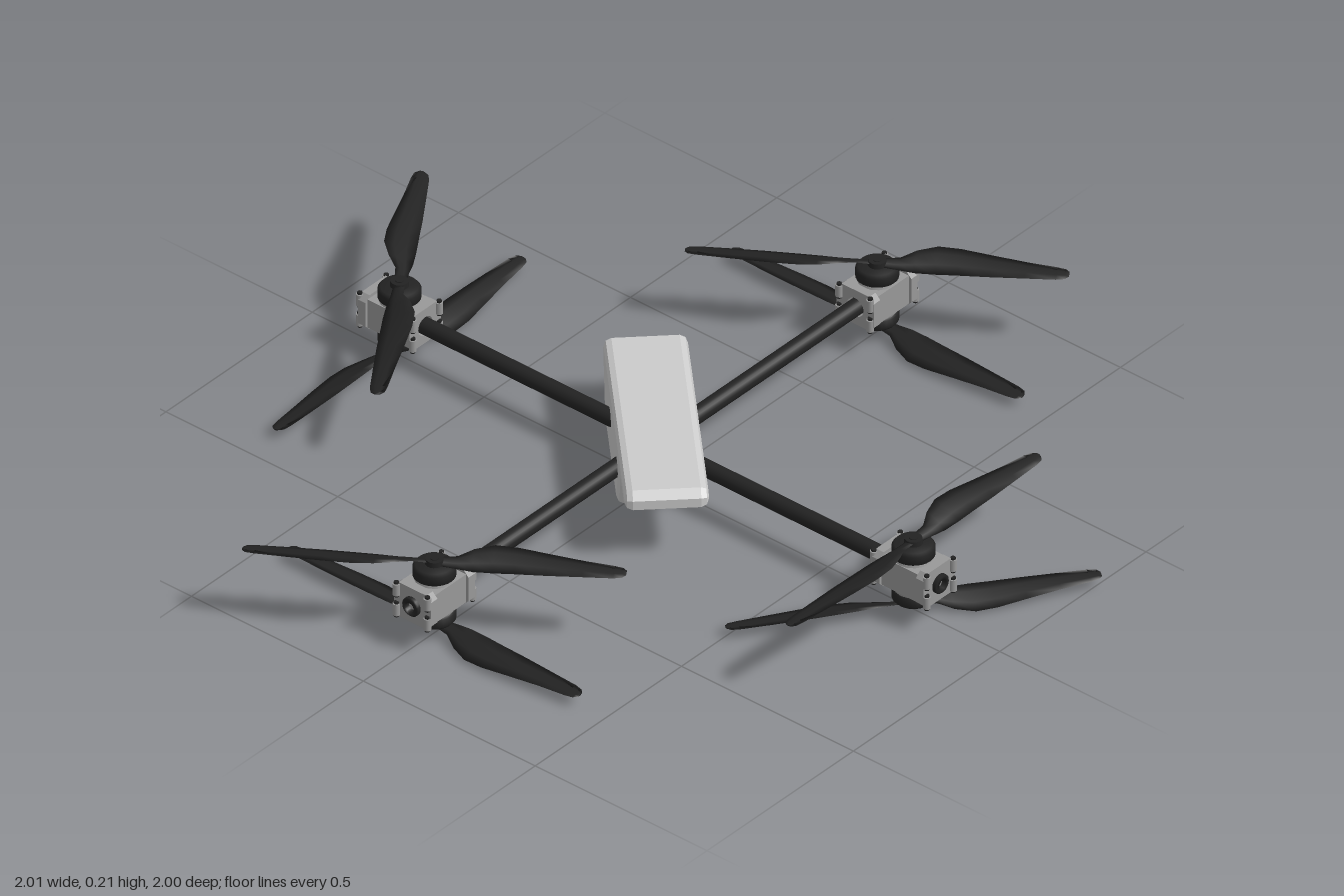
import * as THREE from 'three';

const grey = new THREE.MeshStandardMaterial({ color: 0xcccccc });
const podGrey = new THREE.MeshStandardMaterial({ color: 0x999999 });
const black = new THREE.MeshStandardMaterial({ color: 0x222222 });
const bladeBlack = new THREE.MeshStandardMaterial({ color: 0x222222, side: THREE.DoubleSide });

const ARM_Y = 0.11, REACH = 0.753, ROTOR_Y = 0.081;

function add(parent, name, geometry, material, x = 0, y = 0, z = 0) {
  const mesh = new THREE.Mesh(geometry, material);
  mesh.name = name;
  mesh.position.set(x, y, z);
  parent.add(mesh);
  return mesh;
}

// Chamfered hull: side profile with an overhanging nose, extruded across its width
function createBody() {
  const profile = [
    [-0.235, 0.003], [0.075, 0.003], [0.09, 0.012], [0.15, 0.138], [0.29, 0.138],
    [0.313, 0.152], [0.313, 0.175], [0.295, 0.193], [-0.29, 0.193], [-0.311, 0.175], [-0.25, 0.012],
  ];
  const shape = new THREE.Shape(profile.map(([s, y]) => new THREE.Vector2(s, y)));
  const bevel = 0.018, width = 0.188;
  const geometry = new THREE.ExtrudeGeometry(shape, {
    depth: width - 2 * bevel, bevelEnabled: true, bevelThickness: bevel,
    bevelSize: bevel, bevelOffset: -bevel, bevelSegments: 2,
  });
  geometry.translate(0, 0, -width / 2 + bevel);
  return geometry;
}

// Twisted blade lofted along +x from thin lens sections
function createBlade() {
  // radius, straight edge, bulged edge, pitch slope
  const sections = [
    [0.0, -0.012, 0.012, 0.2], [0.05, -0.015, 0.016, 0.42], [0.085, -0.019, 0.036, 0.42],
    [0.13, -0.02, 0.052, 0.36], [0.18, -0.019, 0.053, 0.3], [0.25, -0.018, 0.045, 0.24],
    [0.33, -0.015, 0.035, 0.18], [0.4, -0.012, 0.028, 0.14], [0.42, -0.008, 0.024, 0.12],
    [0.428, 0.001, 0.016, 0.12],
  ];
  const lens = [[0, 0], [0.3, 1], [0.7, 0.9], [1, 0], [0.7, -0.4], [0.3, -0.4]];
  const n = lens.length, positions = [], index = [];
  sections.forEach(([r, a, b, slope], i) => {
    for (const [t, h] of lens) {
      const z = a + (b - a) * t;
      positions.push(r, z * slope + h * 0.0045 * (1 - r), -z);
    }
    if (i === 0) return;
    for (let j = 0; j < n; j++) {
      const p = (i - 1) * n + j, q = (i - 1) * n + (j + 1) % n;
      index.push(p, p + n, q, q, p + n, q + n);
    }
  });
  const last = (sections.length - 1) * n;
  for (let j = 1; j < n - 1; j++) index.push(last, last + j + 1, last + j);
  const geometry = new THREE.BufferGeometry();
  geometry.setAttribute('position', new THREE.Float32BufferAttribute(positions, 3));
  geometry.setIndex(index);
  geometry.computeVertexNormals();
  return geometry;
}

// Two-bladed rotor; the lower one hangs upside down, angle is as seen from above
function createPropeller(name, blade, angle, upper) {
  const propeller = new THREE.Group();
  propeller.name = name;
  for (const turn of [0, Math.PI]) add(propeller, 'blade', blade, bladeBlack).rotation.y = turn;
  add(propeller, 'propellerHub', new THREE.CylinderGeometry(0.02, 0.022, 0.016, 20), black);
  propeller.rotation.set(upper ? 0 : Math.PI, upper ? angle : -angle, 0);
  return propeller;
}

// Clamp plate with a round opening for the arm tube, cut-off corners
function createClampPlate() {
  const w = 0.054, h = 0.046, c = 0.014;
  const shape = new THREE.Shape([
    [-w + c, -h], [w - c, -h], [w, -h + c], [w, h - c], [w - c, h], [-w + c, h], [-w, h - c], [-w, -h + c],
  ].map(([x, y]) => new THREE.Vector2(x, y)));
  shape.holes.push(new THREE.Path().absarc(0, 0, 0.024, 0, Math.PI * 2, true));
  const geometry = new THREE.ExtrudeGeometry(shape, { depth: 0.022, bevelEnabled: false, curveSegments: 16 });
  return geometry.translate(0, 0, -0.011).rotateY(Math.PI / 2);
}

// Pod at the arm end, local +x points outward
function createPod() {
  const pod = new THREE.Group();
  pod.name = 'motorPod';
  const plate = createClampPlate();
  add(pod, 'clampBlock', new THREE.BoxGeometry(0.115, 0.076, 0.094), podGrey);
  const lug = new THREE.CylinderGeometry(0.009, 0.009, 0.03, 10);
  const bolt = new THREE.CylinderGeometry(0.006, 0.006, 0.04, 8);
  for (const x of [-0.064, 0.064]) {
    add(pod, 'clampPlate', plate, podGrey, x);
    for (const y of [-0.027, 0.027]) {
      for (const z of [-0.045, 0.045]) {
        add(pod, 'screwLug', lug, podGrey, x + Math.sign(x) * 0.013, y, z);
        add(pod, 'clampBolt', bolt, black, x + Math.sign(x) * 0.013, y, z);
      }
    }
  }
  // open tube end on the outside of the clamp
  const ring = [[0.012, -0.03], [0.024, -0.03], [0.024, 0.012], [0.021, 0.015], [0.012, 0.015], [0.012, -0.03]];
  const tubeEnd = new THREE.LatheGeometry(ring.map(([r, y]) => new THREE.Vector2(r, y)), 20);
  add(pod, 'tubeEnd', tubeEnd.rotateZ(-Math.PI / 2), black, 0.07);
  add(pod, 'endPin', new THREE.CylinderGeometry(0.012, 0.012, 0.02, 12).rotateZ(Math.PI / 2), podGrey, 0.063);
  // upper and lower motors, mirrored about the arm
  const bell = new THREE.LatheGeometry([
    [0, 0.036], [0.032, 0.036], [0.04, 0.045], [0.049, 0.047], [0.049, 0.068], [0.043, 0.075], [0.018, 0.077], [0, 0.077],
  ].map(([r, y]) => new THREE.Vector2(r, y)), 28);
  for (const side of [0, Math.PI]) {
    const motor = new THREE.Group();
    motor.name = side ? 'lowerMotor' : 'upperMotor';
    add(motor, 'motorMount', new THREE.CylinderGeometry(0.044, 0.047, 0.01, 16), podGrey, 0, 0.041, 0);
    add(motor, 'motorBell', bell, black);
    add(motor, 'motorShaft', new THREE.CylinderGeometry(0.01, 0.01, 0.02, 12), black, 0, ROTOR_Y, 0);
    motor.rotation.x = side;
    pod.add(motor);
  }
  return pod;
}

export function createModel() {
  const model = new THREE.Group();
  model.name = 'drone';
  add(model, 'body', createBody(), grey).rotation.y = -Math.PI / 4;

  // heading, sideways offsets, angles of the upper and lower rotors
  const arms = [
    { name: 'leftArm', heading: 0, dx: -0.002, dz: 0.002, upper: 1.553, lower: 0.965 },
    { name: 'rightArm', heading: Math.PI, dx: 0, dz: -0.008, upper: -1.0, lower: 1.6 },
    { name: 'backArm', heading: Math.PI / 2, dx: 0.001, dz: -0.002, upper: 0.575, lower: 0.005 },
    { name: 'frontArm', heading: -Math.PI / 2, dx: -0.006, dz: -0.003, upper: 0.575, lower: 0.005 },
  ];
  const blade = createBlade();
  for (const arm of arms) {
    const assembly = new THREE.Group();
    assembly.name = arm.name;
    assembly.position.set(arm.dx, ARM_Y, arm.dz);

    const boom = new THREE.Group();
    boom.name = 'boom';
    boom.rotation.y = arm.heading;
    const tube = new THREE.CylinderGeometry(0.02, 0.02, REACH - 0.03, 24).rotateZ(Math.PI / 2);
    add(boom, 'armTube', tube, black, (REACH - 0.03) / 2);
    const pod = createPod();
    pod.position.x = REACH;
    boom.add(pod);
    assembly.add(boom);

    const x = Math.cos(arm.heading) * REACH, z = -Math.sin(arm.heading) * REACH;
    const upper = createPropeller('upperPropeller', blade, arm.upper, true);
    const lower = createPropeller('lowerPropeller', blade, arm.lower, false);
    upper.position.set(x, ROTOR_Y, z);
    lower.position.set(x, -ROTOR_Y, z);
    assembly.add(upper, lower);
    model.add(assembly);
  }
  return model;
}
